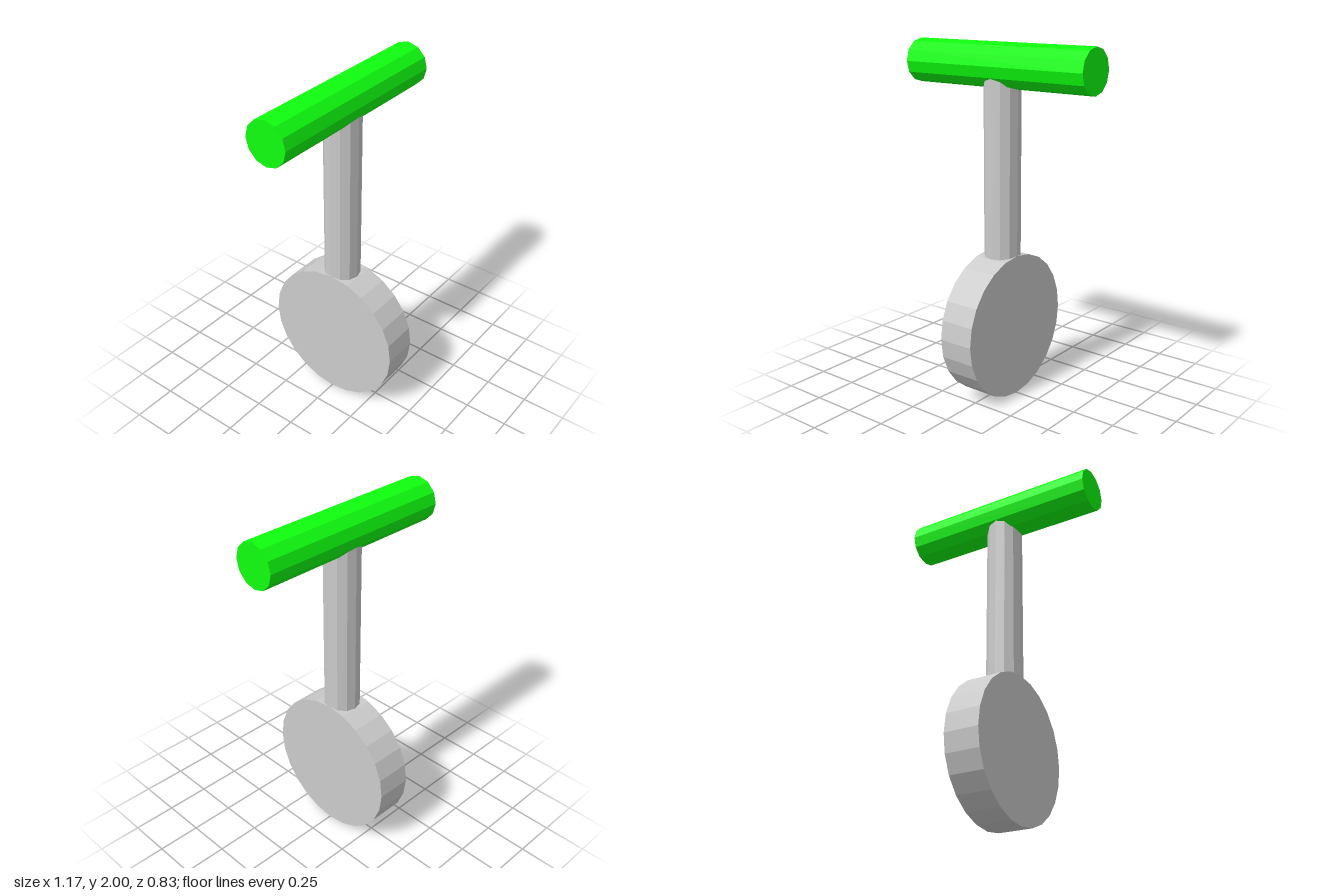
import * as THREE from 'three';

const grey = new THREE.MeshStandardMaterial({ color: 0xcccccc, flatShading: true });
const green = new THREE.MeshStandardMaterial({ color: 0x0fff0f, flatShading: true });

// Faceted cylinder centred at height y; lying ones run along x
function rod(name, radius, length, sides, y, material, lying) {
  const geometry = new THREE.CylinderGeometry(radius, radius, length, sides);
  if (lying) geometry.rotateZ(Math.PI / 2);
  const mesh = new THREE.Mesh(geometry, material);
  mesh.name = name;
  mesh.position.y = y;
  return mesh;
}

export function createModel() {
  const model = new THREE.Group();
  model.name = 'discWithHandle';
  model.add(
    // Thick disc at the bottom
    rod('disc', 0.415, 0.206, 24, 0.417, grey, true),
    // Upright shaft, sunk into disc and grip
    rod('shaft', 0.103, 1.16, 12, 1.29, grey, false),
    // Crossbar grip
    rod('grip', 0.123, 1.166, 12, 1.877, green, true),
  );
  return model;
}
